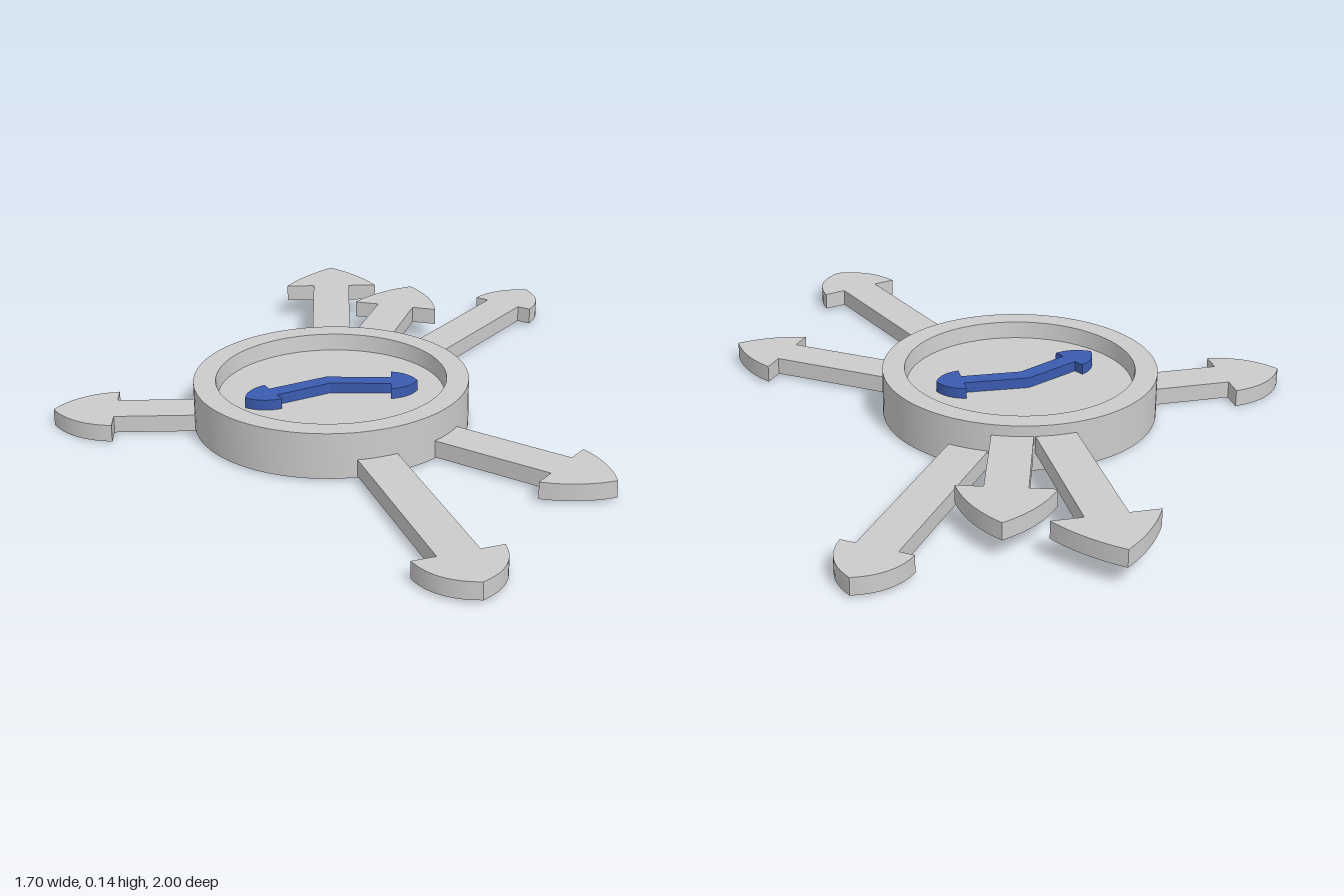
import * as THREE from 'three';
import { toCreasedNormals } from 'three/addons/utils/BufferGeometryUtils.js';

const CENTER = new THREE.Vector2(-0.15, -0.1);

// Continue an outline around an arrow head: neck, barb, bulging side, tip, and back.
function addHead(shape, origin, tip, { half, length, shaft, bulge }) {
  const d = tip.clone().sub(origin);
  const reach = d.length();
  d.normalize();
  const at = (along, across) =>
    [origin.x + d.x * along - d.y * across, origin.y + d.y * along + d.x * across];
  const back = reach - length;
  const slant = Math.hypot(half, length);
  const ctrlAlong = back + length / 2 + (2 * bulge * half) / slant;
  const ctrlAcross = half / 2 + (2 * bulge * length) / slant;
  shape.lineTo(...at(back, -shaft));
  shape.lineTo(...at(back, -half));
  shape.quadraticCurveTo(...at(ctrlAlong, -ctrlAcross), tip.x, tip.y);
  shape.quadraticCurveTo(...at(ctrlAlong, ctrlAcross), ...at(back, half));
  shape.lineTo(...at(back, shaft));
}

// Flat plate from an (x, z) outline, between two heights.
function plate(name, shape, y0, y1, material) {
  const geo = new THREE.ExtrudeGeometry(shape, { depth: y1 - y0, bevelEnabled: false, curveSegments: 10 });
  geo.rotateX(Math.PI / 2).translate(0, y1, 0);
  const mesh = new THREE.Mesh(toCreasedNormals(geo, 0.5), material);
  mesh.name = name;
  return mesh;
}

export function createModel() {
  const group = new THREE.Group();
  group.name = 'arrowDial';
  const grey = new THREE.MeshStandardMaterial({ color: 0xcccccc });
  const blue = new THREE.MeshStandardMaterial({ color: 0x3a5bb0 });

  // Shallow dish with a raised rim
  const profile = [
    [0, 0.005], [0.39, 0.005], [0.39, 0.137], [0.327, 0.137], [0.322, 0.088], [0, 0.088],
  ].map(([r, y]) => new THREE.Vector2(r, y));
  const dish = new THREE.Mesh(toCreasedNormals(new THREE.LatheGeometry(profile, 96), 0.5), grey);
  dish.name = 'dish';
  dish.position.set(CENTER.x, 0, CENTER.y);
  group.add(dish);

  // Arrows radiating from the dish: tip x, tip z, head half width, head length, bulge, bottom
  const arrows = [
    ['backArrow', 0.32, -1.0, 0.143, 0.175, 0.012, 0.057],
    ['backMiddleArrow', 0.46, -0.71, 0.13, 0.185, 0.018, 0.057],
    ['backLeftArrow', 0.848, -0.61, 0.1, 0.155, 0.026, 0.008],
    ['frontLeftArrow', 0.262, 0.715, 0.121, 0.167, 0.016, 0.008],
    ['frontArrow', -0.325, 0.995, 0.123, 0.153, 0.03, 0.008],
    ['rightArrow', -0.852, -0.46, 0.119, 0.175, 0.028, 0],
  ];
  for (const [name, x, z, half, length, bulge, y] of arrows) {
    const tip = new THREE.Vector2(x, z);
    const d = tip.clone().sub(CENTER).normalize();
    const shaft = 0.057;
    const foot = CENTER.clone().addScaledVector(d, 0.34);
    const shape = new THREE.Shape();
    shape.moveTo(foot.x + d.y * shaft, foot.y - d.x * shaft);
    addHead(shape, CENTER, tip, { half, length, shaft, bulge });
    shape.lineTo(foot.x - d.y * shaft, foot.y + d.x * shaft);
    shape.closePath();
    group.add(plate(name, shape, y, y + 0.049, grey));
  }

  // Bent double-ended pointer lying on the dish floor
  const pivot = new THREE.Vector2(-0.15, -0.122);
  const pointer = new THREE.Shape();
  pointer.moveTo(pivot.x + 0.006, pivot.y - 0.024);
  addHead(pointer, pivot, new THREE.Vector2(0.071, 0.005), { half: 0.063, length: 0.075, shaft: 0.023, bulge: 0.014 });
  pointer.lineTo(pivot.x - 0.006, pivot.y + 0.024);
  addHead(pointer, pivot, new THREE.Vector2(-0.41, -0.122), { half: 0.056, length: 0.087, shaft: 0.025, bulge: 0.014 });
  pointer.closePath();
  group.add(plate('pointer', pointer, 0.085, 0.118, blue));

  return group;
}
